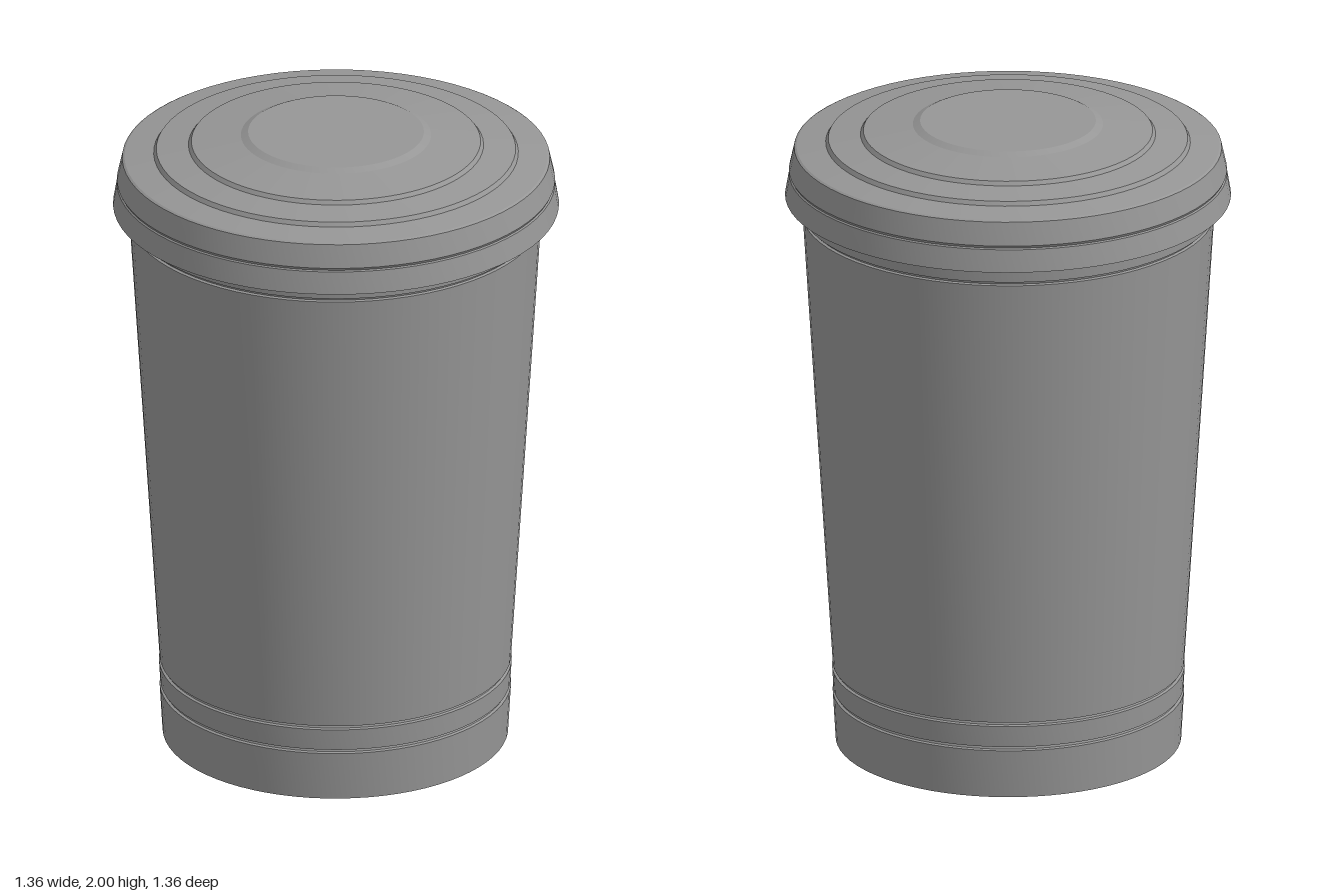
import * as THREE from 'three';
import { toCreasedNormals } from 'three/addons/utils/BufferGeometryUtils.js';

const grey = new THREE.MeshStandardMaterial({ color: 0x969696 });
grey.name = 'grey';

// Turned part from [radius, height] points, listed from bottom centre to top centre
function turned(name, profile) {
  const points = profile.map(([r, y]) => new THREE.Vector2(r, y));
  const geometry = toCreasedNormals(new THREE.LatheGeometry(points, 72), 0.13);
  const mesh = new THREE.Mesh(geometry, grey);
  mesh.name = name;
  return mesh;
}

// Narrow groove cut into the wall between two radii
function groove(y, below, above) {
  const depth = 0.008, half = 0.006;
  return [
    [below, y - half], [below - depth, y - half / 2],
    [above - depth, y + half / 2], [above, y + half],
  ];
}

export function createModel() {
  const group = new THREE.Group();
  group.name = 'lidded cup';

  // Tapered cup with two grooves near the foot and one under the lid
  const cup = turned('cup', [
    [0, 0], [0.527, 0],
    ...groove(0.16, 0.536, 0.534),
    ...groove(0.24, 0.538, 0.536),
    ...groove(1.71, 0.628, 0.63),
    [0.633, 1.8], [0, 1.8],
  ]);
  cup.position.set(-0.012, 0, -0.012);
  group.add(cup);

  // Lid with flared skirt, ridge and stepped shallow dome
  group.add(turned('lid', [
    [0, 1.76], [0.68, 1.76],
    [0.668, 1.83], [0.664, 1.834], [0.668, 1.842],
    [0.652, 1.914], [0.645, 1.918],
    [0.556, 1.93], [0.548, 1.943],
    [0.45, 1.956], [0.441, 1.968],
    [0.29, 1.989], [0.268, 2], [0, 2],
  ]));

  return group;
}
